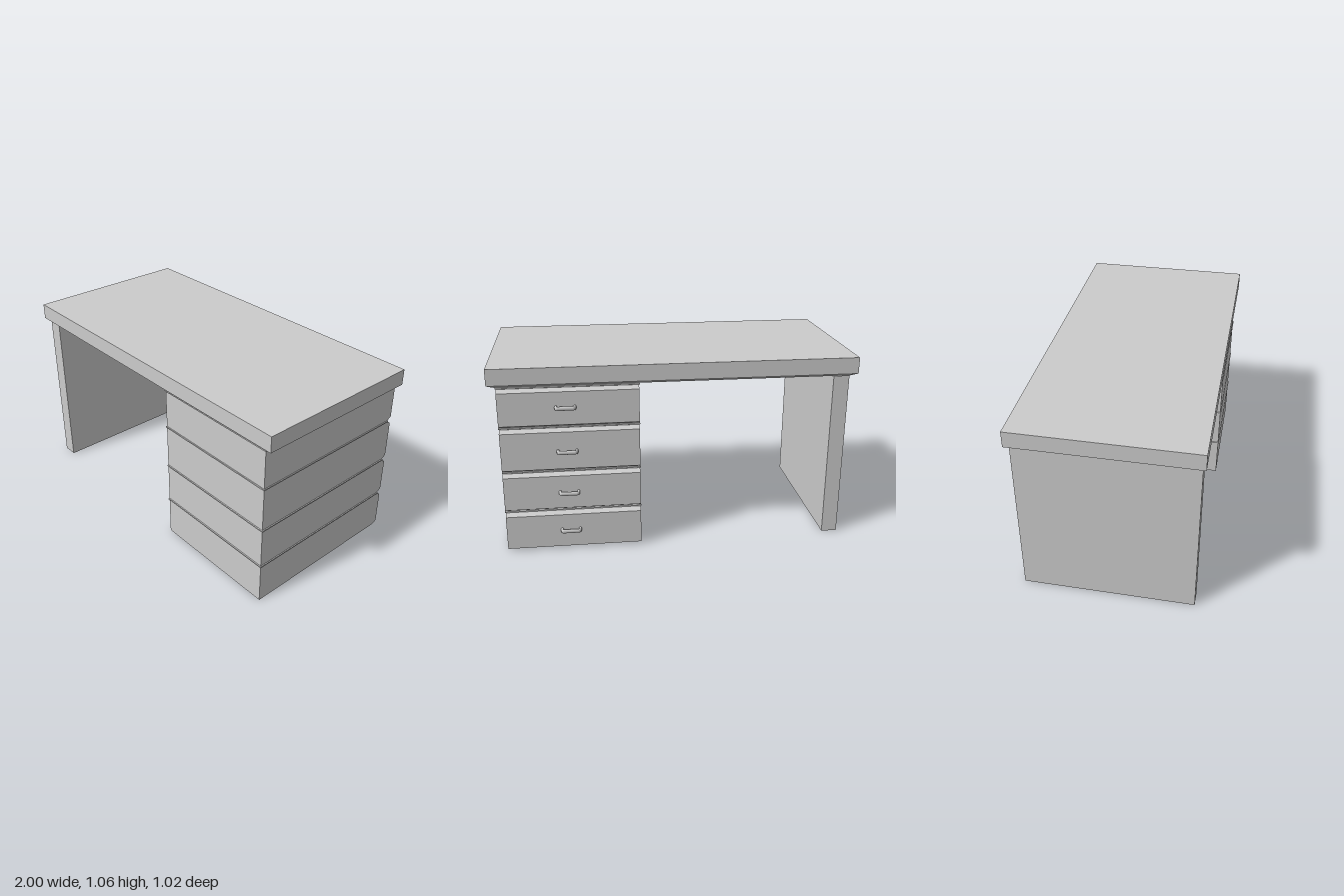
import * as THREE from 'three';

const material = new THREE.MeshStandardMaterial({ color: 0xcccccc, flatShading: true, side: THREE.DoubleSide });
const smooth = new THREE.MeshStandardMaterial({ color: 0xcccccc });

// Stacks rectangular rings [y, x0, x1, z0, z1] from the bottom up into a shell
function loft(name, rings, capBottom, capTop) {
  const pos = [];
  const corners = ([y, x0, x1, z0, z1]) => [[x0, y, z1], [x1, y, z1], [x1, y, z0], [x0, y, z0]];
  const quad = (a, b, c, d) => pos.push(...a, ...b, ...c, ...a, ...c, ...d);
  for (let i = 0; i < rings.length - 1; i++) {
    const lo = corners(rings[i]), hi = corners(rings[i + 1]);
    for (let k = 0; k < 4; k++) {
      const n = (k + 1) % 4;
      quad(lo[k], lo[n], hi[n], hi[k]);
    }
  }
  if (capBottom) quad(...corners(rings[0]).reverse());
  if (capTop) quad(...corners(rings[rings.length - 1]));
  const geometry = new THREE.BufferGeometry();
  geometry.setAttribute('position', new THREE.Float32BufferAttribute(pos, 3));
  geometry.computeVertexNormals();
  const mesh = new THREE.Mesh(geometry, material);
  mesh.name = name;
  return mesh;
}

export function createModel() {
  const desk = new THREE.Group();
  desk.name = 'desk';

  // Thick top with a bevelled underside
  desk.add(loft('tabletop', [
    [0.953, -0.96, 0.96, -0.45, 0.493],
    [0.967, -1, 1, -0.468, 0.513],
    [1.057, -1, 1, -0.468, 0.513],
  ], true, true));

  // Hollow panel leg, open underneath
  desk.add(loft('panelLeg', [
    [0, -0.955, -0.867, -0.453, 0.495],
    [0.953, -0.955, -0.867, -0.453, 0.495],
  ], false, false));

  // Drawer pedestal: each drawer has a chamfered face and a thin ridge above it
  const X0 = 0.203, X1 = 0.952, FRONT = 0.495, BACK = -0.45, FACE = -0.478;
  const drawers = [[0, 0.226], [0.238, 0.461], [0.473, 0.717], [0.728, 0.943]];
  const rings = [];
  for (const [y0, y1] of drawers) {
    const ring = (y, z, out = 0) => rings.push([y, X0 - out, X1 + out, z, FRONT + out]);
    ring(y0, BACK);
    ring(y0 + 0.015, FACE);
    ring(y1 - 0.016, FACE);
    ring(y1, BACK);
    ring(y1 + 0.002, BACK - 0.004, 0.004);
    ring(y1 + 0.009, BACK - 0.004, 0.004);
  }
  rings.push([0.954, X0, X1, BACK, FRONT]);
  desk.add(loft('drawerPedestal', rings, false, false));

  // Bent bar handles on the drawer faces
  const path = new THREE.CurvePath();
  const points = [[0.546, -0.47], [0.546, -0.497], [0.553, -0.504], [0.639, -0.504], [0.646, -0.497], [0.646, -0.47]]
    .map(([x, z]) => new THREE.Vector3(x, 0, z));
  for (let i = 0; i < points.length - 1; i++) path.add(new THREE.LineCurve3(points[i], points[i + 1]));
  const handleGeometry = new THREE.TubeGeometry(path, 40, 0.008, 10);
  handleGeometry.scale(1, 1.45, 1);
  [0.119, 0.349, 0.592, 0.842].forEach((y, i) => {
    const handle = new THREE.Mesh(handleGeometry, smooth);
    handle.name = `drawerHandle${i + 1}`;
    handle.position.y = y;
    desk.add(handle);
  });
  return desk;
}
